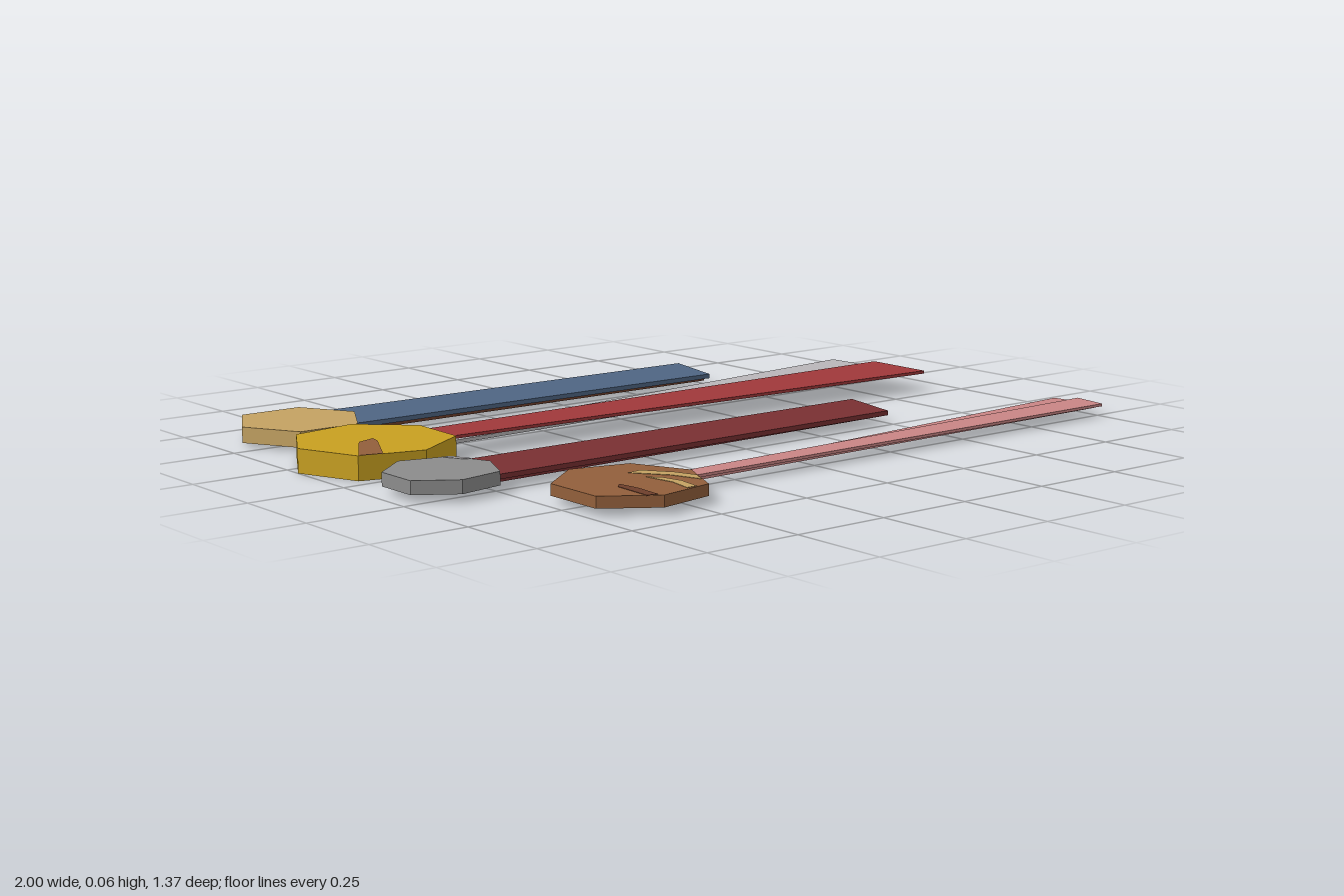
import * as THREE from 'three';

const mat = (name, color) => {
  const m = new THREE.MeshStandardMaterial({ color });
  m.name = name;
  return m;
};

// Horizontal slab: outline in [x, z], between heights y0 and y1,
// with an optional tilt that raises it towards -z.
function slab(name, material, outline, y0, y1, tilt = 0) {
  const shape = new THREE.Shape(outline.map(([x, z]) => new THREE.Vector2(x, -z)));
  const geo = new THREE.ExtrudeGeometry(shape, { depth: y1 - y0, bevelEnabled: false });
  geo.rotateX(-Math.PI / 2).translate(0, y0, 0);
  const p = geo.attributes.position;
  const zLow = Math.max(...outline.map((c) => c[1]));
  for (let i = 0; i < p.count; i++) p.setY(i, p.getY(i) + tilt * (zLow - p.getZ(i)));
  geo.computeVertexNormals();
  const mesh = new THREE.Mesh(geo, material);
  mesh.name = name;
  return mesh;
}

export function createModel() {
  const tan = mat('tan', 0xc4a262);
  const gold = mat('gold', 0xc8a020);
  const grey = mat('grey', 0x8c8c8c);
  const bronze = mat('bronze', 0x925f3b);
  const pink = mat('pink', 0xca8585);
  const red = mat('red', 0xa0383a);
  const maroon = mat('maroon', 0x7a3032);
  const blue = mat('blue', 0x4f6684);
  const brown = mat('brown', 0x6e3f2b);
  const silver = mat('silver', 0xb9b6b9);

  const model = new THREE.Group();
  model.name = 'medals';
  const medal = (name, ...parts) => {
    const g = new THREE.Group();
    g.name = name;
    g.add(...parts);
    model.add(g);
  };

  // Tan hexagonal medal, blue ribbon over brown ribbon
  medal('tanMedal',
    slab('disc', tan, [[-0.945, -0.555], [-0.865, -0.695], [-0.70, -0.695],
      [-0.62, -0.555], [-0.70, -0.412], [-0.865, -0.412]], 0.01, 0.05),
    slab('lowerRibbon', brown, [[-0.70, -0.62], [0.485, -0.68], [0.49, -0.50], [-0.70, -0.50]], 0.012, 0.021),
    slab('upperRibbon', blue, [[-0.70, -0.62], [0.485, -0.607], [0.488, -0.475], [-0.70, -0.485]], 0.022, 0.034, 0.1));

  // Gold heptagonal medal, red ribbon over silver ribbon
  medal('goldMedal',
    slab('disc', gold, [[-1, -0.20], [-0.915, -0.348], [-0.743, -0.374], [-0.62, -0.257],
      [-0.626, -0.09], [-0.775, 0.005], [-0.936, -0.037]], 0, 0.06),
    slab('lowerRibbon', silver, [[-0.66, -0.24], [0.90, -0.415], [0.915, -0.215], [-0.66, -0.13]], 0.03, 0.039),
    slab('upperRibbon', red, [[-0.66, -0.225], [0.90, -0.243], [0.90, -0.045], [-0.66, -0.112]], 0.048, 0.056),
    slab('stripe', bronze, [[-0.85, -0.17], [-0.80, -0.187], [-0.807, -0.155],
      [-0.877, -0.022], [-0.935, -0.037]], 0.059, 0.061));

  // Grey medal with two maroon ribbons and a silver glint
  medal('greyMedal',
    slab('disc', grey, [[-0.968, 0.112], [-0.872, 0.032], [-0.749, 0.064], [-0.706, 0.166],
      [-0.754, 0.273], [-0.872, 0.294], [-0.968, 0.23]], 0.018, 0.051),
    slab('lowerRibbon', maroon, [[-0.75, 0.125], [0.485, 0.06], [0.488, 0.215], [-0.75, 0.235]], 0.016, 0.025, 0.03),
    slab('upperRibbon', maroon, [[-0.745, 0.105], [0.485, 0.11], [0.488, 0.242], [-0.745, 0.242]], 0.024, 0.036, 0.09),
    slab('glint', silver, [[-0.77, 0.061], [-0.749, 0.064], [-0.725, 0.115], [-0.74, 0.115]], 0.05, 0.052));

  // Bronze medal with two pink ribbons and painted curved stripes
  medal('bronzeMedal',
    slab('disc', bronze, [[-0.727, 0.428], [-0.604, 0.332], [-0.455, 0.369], [-0.39, 0.513],
      [-0.455, 0.652], [-0.604, 0.679], [-0.727, 0.594]], 0.017, 0.045),
    slab('lowerRibbon', pink, [[-0.44, 0.47], [0.98, 0.365], [1, 0.435], [1, 0.49], [-0.44, 0.515]], 0.018, 0.025, 0.03),
    slab('upperRibbon', pink, [[-0.44, 0.475], [1, 0.43], [1, 0.515], [-0.44, 0.522]], 0.026, 0.033, 0.04),
    slab('stripeCurved', tan, [[-0.525, 0.45], [-0.485, 0.445], [-0.438, 0.51], [-0.418, 0.565],
      [-0.437, 0.605], [-0.465, 0.53]], 0.044, 0.046),
    slab('stripeShort', tan, [[-0.52, 0.51], [-0.495, 0.535], [-0.483, 0.59], [-0.492, 0.655],
      [-0.52, 0.655], [-0.508, 0.59]], 0.044, 0.046),
    slab('stripeDark', brown, [[-0.632, 0.55], [-0.613, 0.53], [-0.605, 0.59], [-0.61, 0.665],
      [-0.637, 0.66]], 0.044, 0.046));

  return model;
}
